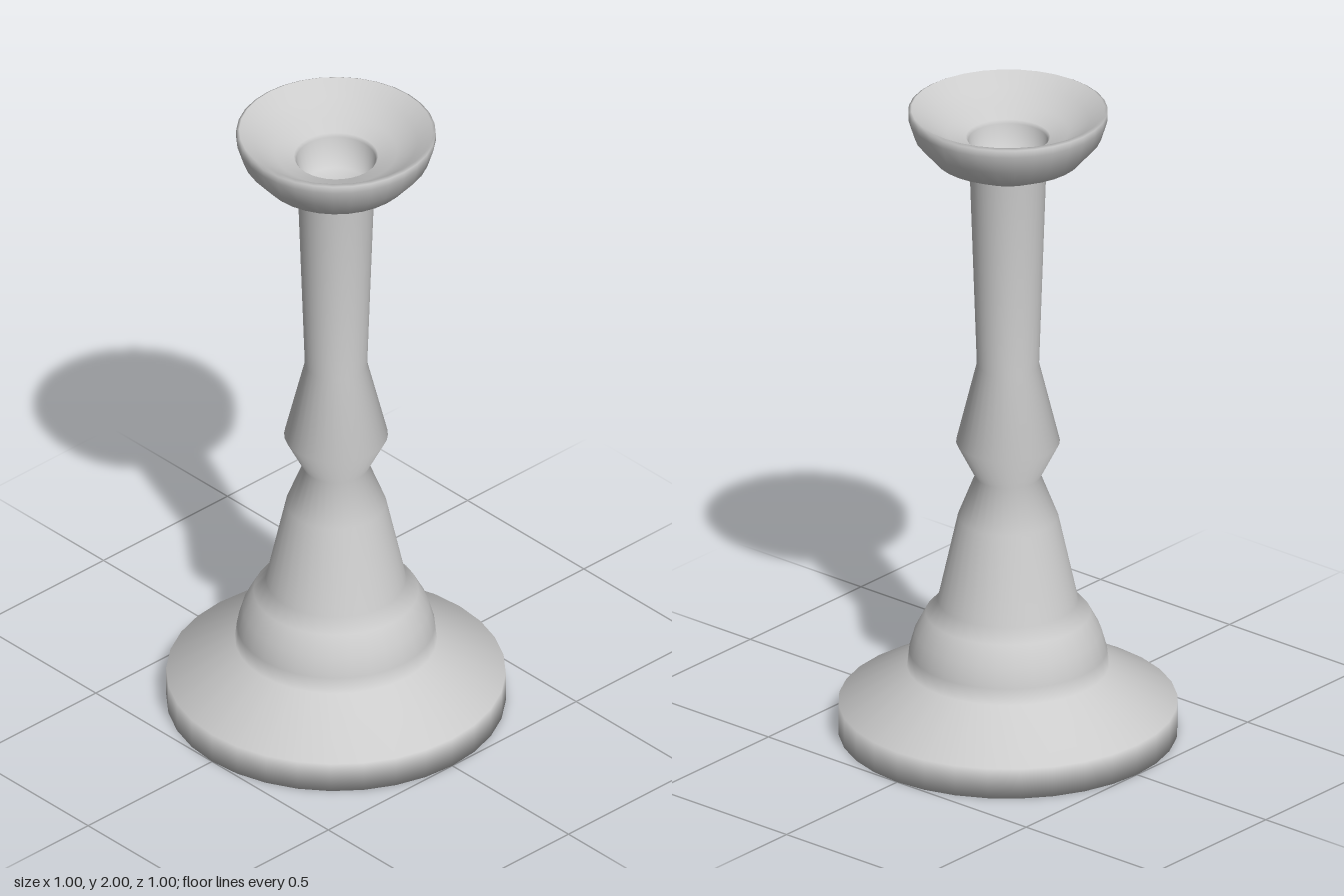
import * as THREE from 'three';

// Profile sections as [radius, height], running from the underside up and into the cup
const foot = [[0, 0], [0.5, 0], [0.5, 0.095], [0.298, 0.21]];
const dome = [[0.292, 0.26], [0.275, 0.32], [0.243, 0.38], [0.207, 0.42]];
const cone = [[0.148, 0.69], [0.097, 0.82]];
const knop = [[0.153, 0.93], [0.092, 1.18]];
const stem = [[0.113, 1.8]];
const cupOutside = [[0.12, 1.803], [0.22, 1.85], [0.276, 1.915], [0.294, 1.972], [0.294, 1.995]];
const cupInside = [[0.285, 2], [0.24, 1.962], [0.18, 1.928], [0.124, 1.91]];
const socket = [[0.117, 1.9], [0.096, 1.805], [0, 1.805]];

export function createModel() {
  const group = new THREE.Group();
  group.name = 'candlestick';

  const profile = [foot, dome, cone, knop, stem, cupOutside, cupInside, socket]
    .flat()
    .map(([r, y]) => new THREE.Vector2(r, y));

  // One continuous turned surface with smooth normals
  const body = new THREE.Mesh(
    new THREE.LatheGeometry(profile, 32),
    new THREE.MeshStandardMaterial({ color: 0xcccccc })
  );
  body.name = 'turnedBody';
  group.add(body);
  return group;
}
